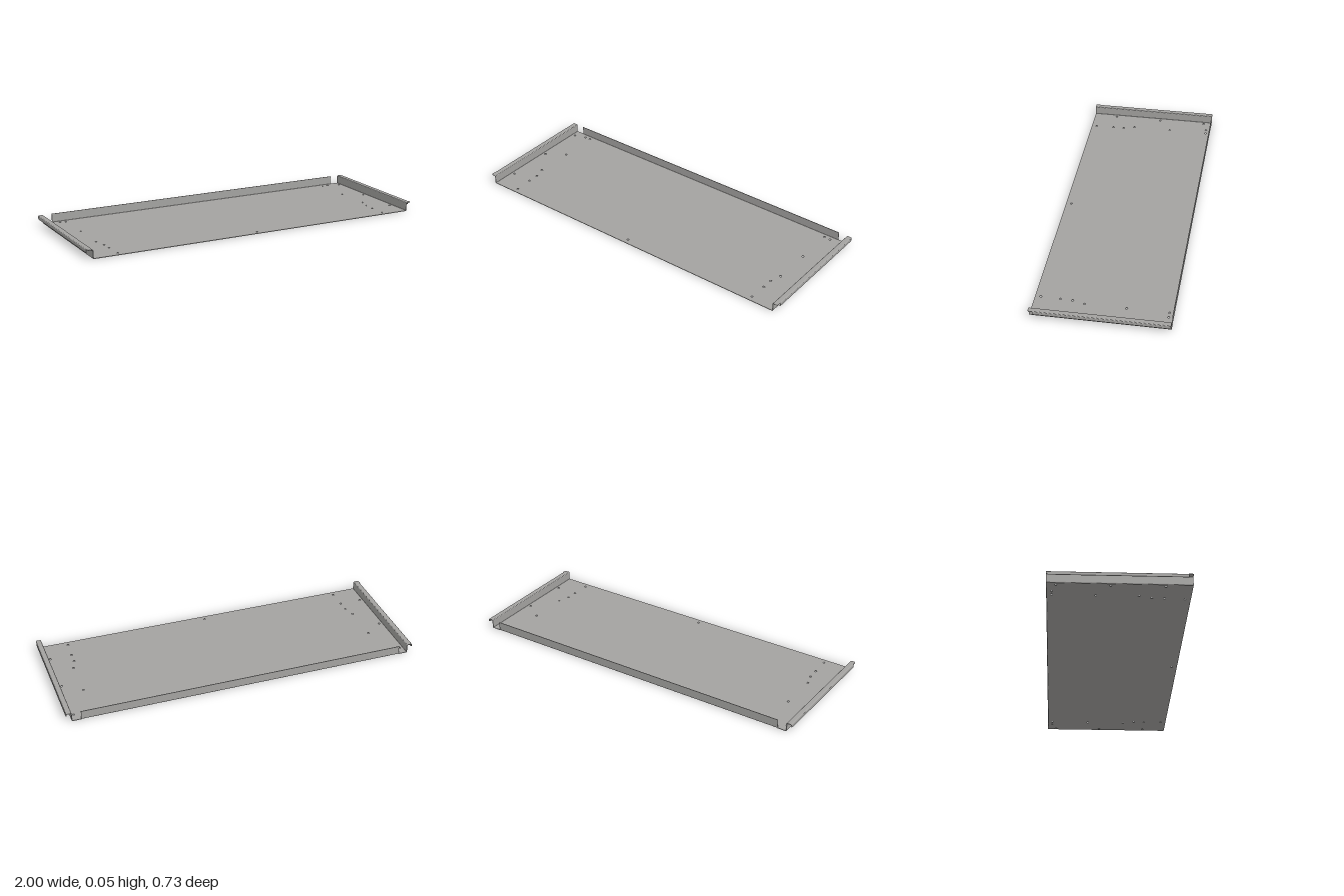
import * as THREE from 'three';

const T = 0.003;       // sheet thickness
const HALF_Z = 0.367;
const HEIGHT = 0.051;
const BEND = 0.005;    // bend radius

// Closed outline of a sheet following a centreline with rounded corners
function sheetProfile(corners) {
  const pts = corners.map(([x, y]) => new THREE.Vector2(x, y));
  const line = [pts[0]];
  for (let i = 1; i < pts.length - 1; i++) {
    const toward = (q) => pts[i].clone().add(q.clone().sub(pts[i]).setLength(BEND));
    const curve = new THREE.QuadraticBezierCurve(toward(pts[i - 1]), pts[i], toward(pts[i + 1]));
    line.push(...curve.getPoints(5));
  }
  line.push(pts[pts.length - 1]);
  const a = [], b = [];
  line.forEach((p, i) => {
    const d = line[Math.min(i + 1, line.length - 1)].clone().sub(line[Math.max(i - 1, 0)]).normalize();
    const n = new THREE.Vector2(-d.y, d.x).multiplyScalar(T / 2);
    a.push(p.clone().add(n));
    b.push(p.clone().sub(n));
  });
  return new THREE.Shape([...a, ...b.reverse()]);
}

function extrude(shape, depth) {
  return new THREE.ExtrudeGeometry(shape, { depth, bevelEnabled: false, curveSegments: 6 });
}

// Shift vertices along z where the test holds (trimmed corners)
function trim(geo, test, dz) {
  const p = geo.attributes.position;
  for (let i = 0; i < p.count; i++) {
    if (test(Math.abs(p.getX(i)), p.getY(i), p.getZ(i))) p.setZ(i, p.getZ(i) + dz);
  }
  geo.computeVertexNormals();
  return geo;
}

export function createModel() {
  const model = new THREE.Group();
  model.name = 'sheetMetalTray';
  const steel = new THREE.MeshStandardMaterial({ color: 0xa3a2a0 });
  steel.name = 'grey steel';
  const add = (name, geo) => {
    const mesh = new THREE.Mesh(geo, steel);
    mesh.name = name;
    model.add(mesh);
  };

  // Floor panel with small drilled holes, mirrored left and right
  const px = 0.962, back = -HALF_Z + 0.01;
  const floor = new THREE.Shape([
    [-px, HALF_Z], [-px, -HALF_Z], [-0.92, -HALF_Z], [-0.92, back],
    [0.92, back], [0.92, -HALF_Z], [px, -HALF_Z], [px, HALF_Z],
  ].map(([x, z]) => new THREE.Vector2(x, z)));
  const sideHoles = [
    [0.95, -0.318], [0.882, -0.34], [0.847, -0.34], [0.847, -0.118], [0.95, -0.045],
    [0.847, 0.102], [0.828, 0.168], [0.827, 0.232], [0.95, 0.23], [0.823, 0.337],
  ];
  const holes = [[0, 0.337], ...sideHoles, ...sideHoles.map(([x, z]) => [-x, z])];
  for (const [x, z] of holes) {
    floor.holes.push(new THREE.Path().absarc(x, z, 0.006, 0, Math.PI * 2, true));
  }
  add('floorPanel', extrude(floor, T).rotateX(Math.PI / 2).translate(0, T, 0));

  // Upright back flange, shorter than the floor
  const backProfile = sheetProfile([
    [back, T / 2], [-HALF_Z + T / 2, T / 2], [-HALF_Z + T / 2, HEIGHT],
  ]);
  add('backFlange', extrude(backProfile, 1.84).rotateY(-Math.PI / 2).translate(0.92, 0, 0));

  // Side rails: wall, outward lip, and a turned-down edge that stops before the front
  const lipEnd = 0.343, top = HEIGHT - T / 2, wallX = 0.972 - T / 2, outX = 1 - T / 2;
  for (const [side, s] of [['left', 1], ['right', -1]]) {
    const wall = [[px, T / 2], [wallX, T / 2], [wallX, top]];
    const flip = (pts) => pts.map(([x, y]) => [s * x, y]);

    const rail = extrude(
      sheetProfile(flip([...wall, [outX, top], [outX, 0.041], [outX, 0.031]])),
      lipEnd + HALF_Z).translate(0, 0, -HALF_Z);
    add(side + 'Rail', trim(rail, (x, y, z) => x > 0.98 && y < 0.032 && z < 0, 0.01));

    const tab = extrude(sheetProfile(flip([...wall, [0.99, top], [1, top]])), HALF_Z - lipEnd)
      .translate(0, 0, lipEnd);
    add(side + 'RailFrontTab', trim(tab, (x, y, z) => x > 0.998 && z > 0.36, -0.008));
  }
  return model;
}
